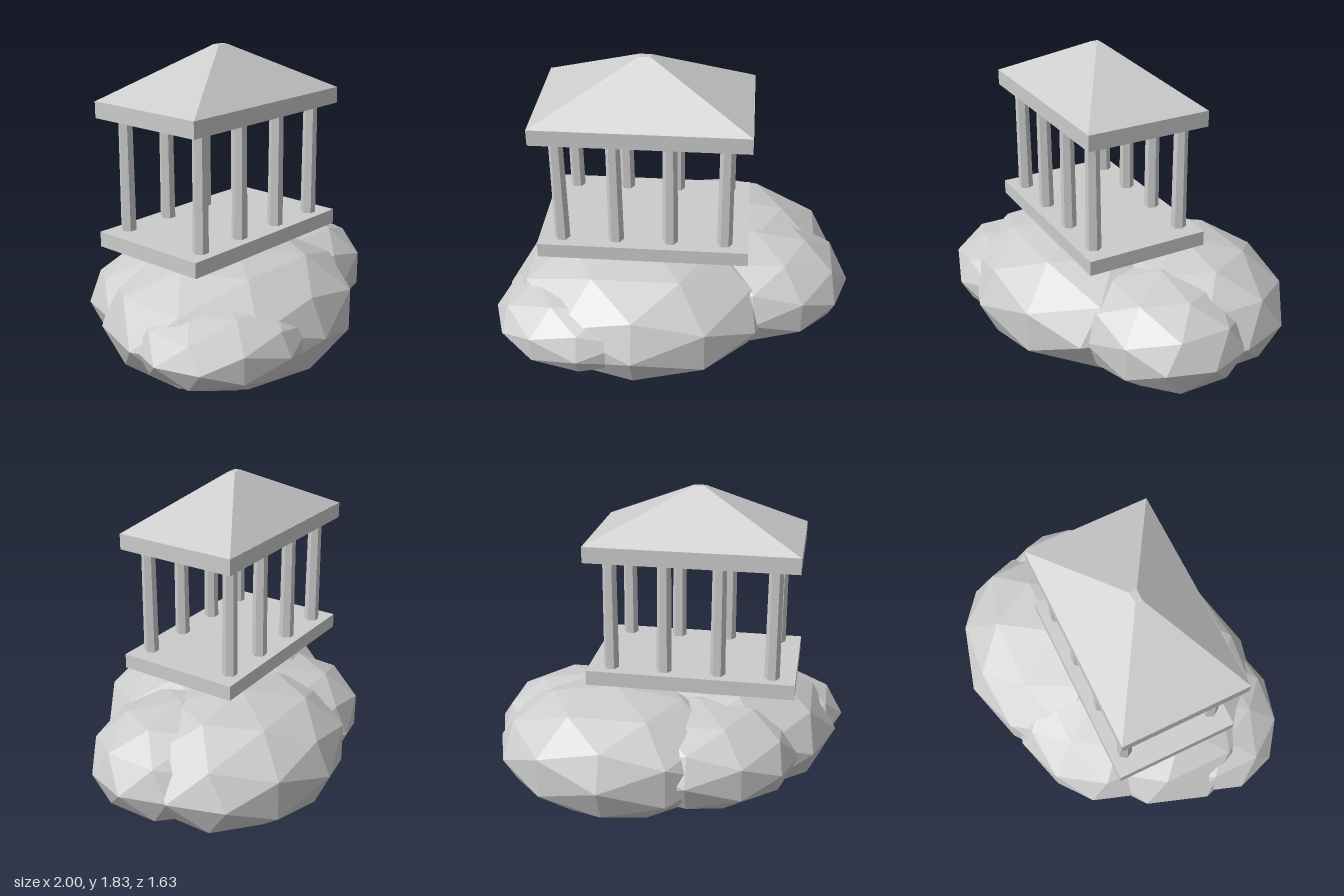
import * as THREE from 'three';

export function createModel() {
  const model = new THREE.Group();
  const stone = new THREE.MeshStandardMaterial({ color: 0xcccccc, flatShading: true });
  stone.name = 'pale grey';

  const add = (parent, name, geometry, x, y, z) => {
    const mesh = new THREE.Mesh(geometry, stone);
    mesh.name = name;
    mesh.position.set(x, y, z);
    parent.add(mesh);
    return mesh;
  };

  // Cloud: overlapping squashed low-poly spheres [name, centre, radii]
  const cloud = new THREE.Group();
  cloud.name = 'cloud';
  model.add(cloud);
  const puffs = [
    ['mainPuff', [-0.19, 0.39, 0.16], [0.775, 0.385, 0.645]],
    ['backPuff', [0.24, 0.405, -0.26], [0.69, 0.36, 0.56]],
    ['frontPuff', [-0.48, 0.39, 0.37], [0.52, 0.235, 0.44]],
    ['sidePuff', [0.45, 0.4, -0.01], [0.55, 0.31, 0.47]],
    ['rearPuff', [-0.2, 0.4, -0.2], [0.58, 0.3, 0.49]],
  ];
  for (const [name, centre, radii] of puffs) {
    add(cloud, name, new THREE.IcosahedronGeometry(1, 1).scale(...radii), ...centre);
  }

  // Temple, centred on its own footprint
  const temple = new THREE.Group();
  temple.name = 'temple';
  temple.position.set(-0.16, 0, 0.05);
  model.add(temple);
  const W = 1.14, D = 0.7;

  add(temple, 'floorSlab', new THREE.BoxGeometry(W, 0.083, D), 0, 0.819, 0);
  add(temple, 'ceilingSlab', new THREE.BoxGeometry(W, 0.088, D), 0, 1.523, 0);

  // Hipped roof: four-sided frustum stretched to the slab
  const roof = new THREE.CylinderGeometry(0.055 * Math.SQRT1_2, Math.SQRT1_2, 0.265, 4)
    .rotateY(Math.PI / 4)
    .scale(W, 1, D);
  add(temple, 'roof', roof, 0, 1.6985, 0);

  // Two rows of four slightly tapered hexagonal columns
  const column = new THREE.CylinderGeometry(0.038, 0.042, 0.63, 6).rotateY(Math.PI / 6);
  for (const z of [-0.265, 0.265]) {
    for (let i = 0; i < 4; i++) {
      add(temple, 'column', column, -0.442 + i * 0.2947, 1.17, z);
    }
  }
  return model;
}
